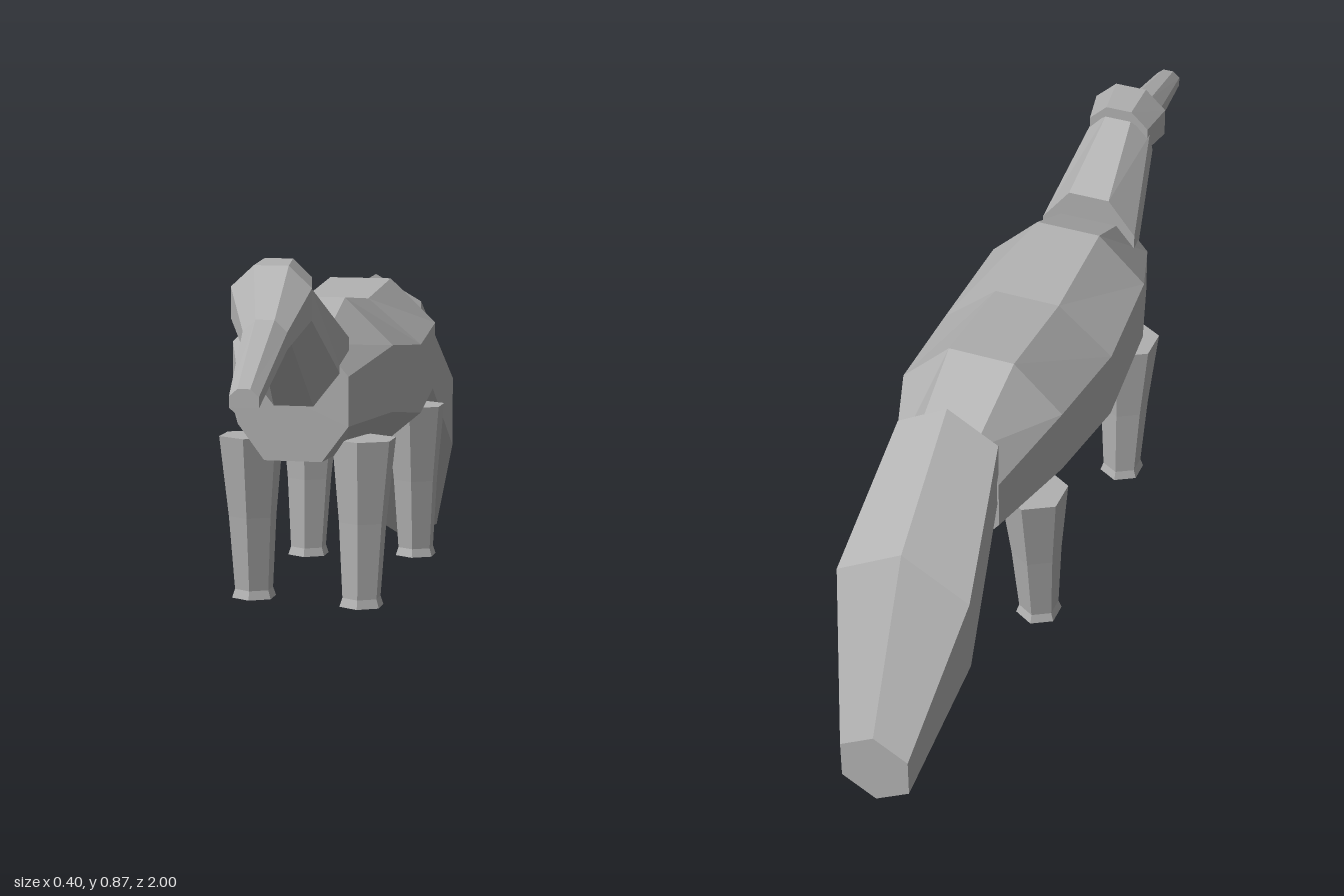
import * as THREE from 'three';

const coat = new THREE.MeshStandardMaterial({ color: 0xb0b0b0, flatShading: true });
coat.name = 'grey coat';

// Skin a list of cross-sections and close both ends
function loft(name, rings) {
  const pos = [];
  const n = rings[0].length;
  const tri = (a, b, c) => pos.push(...a, ...b, ...c);
  for (let r = 0; r < rings.length - 1; r++) {
    const a = rings[r], b = rings[r + 1];
    for (let i = 0; i < n; i++) {
      const j = (i + 1) % n;
      tri(a[i], a[j], b[j]);
      tri(a[i], b[j], b[i]);
    }
  }
  const first = rings[0], last = rings[rings.length - 1];
  for (let i = 1; i < n - 1; i++) {
    tri(first[0], first[i + 1], first[i]);
    tri(last[0], last[i], last[i + 1]);
  }
  const g = new THREE.BufferGeometry();
  g.setAttribute('position', new THREE.Float32BufferAttribute(pos, 3));
  g.computeVertexNormals();
  const mesh = new THREE.Mesh(g, coat);
  mesh.name = name;
  return mesh;
}

// Eight-sided section facing z: half width, flat half width, bottom / low / high / top heights
function octagon(z, cx, hw, flat, [bot, lo, hi, top], lean = 0) {
  const points = [[hw, lo], [hw, hi], [flat, top], [-flat, top], [-hw, hi], [-hw, lo], [-flat, bot], [flat, bot]];
  return points.map(([x, y]) => [cx + x, y, z + lean * (top - y)]);
}

// Evenly proportioned eight-sided section between two heights
function evenOctagon(z, cx, hw, bot, top, lean = 0) {
  const h = top - bot;
  return octagon(z, cx, hw, hw * 0.43, [bot, bot + h * 0.29, top - h * 0.29, top], lean);
}

// Six-sided section facing z, with a ridge at the top
function tailRing(z, cy, r) {
  return Array.from({ length: 6 }, (_, i) => {
    const a = Math.PI / 6 + i * Math.PI / 3;
    return [r * Math.cos(a), cy + r * Math.sin(a), z];
  });
}

// Six-sided section facing y
function legRing(x, y, z, r) {
  return Array.from({ length: 6 }, (_, i) => {
    const a = Math.PI / 6 + i * Math.PI / 3;
    return [x + r * Math.cos(a), y, z - r * Math.sin(a)];
  });
}

export function createModel() {
  const model = new THREE.Group();
  model.name = 'anteater';

  // Trunk, from hips to chest
  model.add(loft('body', [
    octagon(-0.59, 0, 0.12, 0.065, [0.41, 0.48, 0.59, 0.67]),
    octagon(-0.39, 0, 0.185, 0.075, [0.41, 0.5, 0.65, 0.755]),
    octagon(-0.13, 0, 0.2, 0.075, [0.36, 0.465, 0.625, 0.73]),
    octagon(0.12, 0, 0.185, 0.075, [0.41, 0.5, 0.65, 0.755]),
    octagon(0.31, 0, 0.125, 0.065, [0.41, 0.49, 0.6, 0.67]),
  ]));

  // Neck
  model.add(loft('neck', [
    evenOctagon(0.25, 0, 0.113, 0.48, 0.76),
    evenOctagon(0.46, 0.008, 0.073, 0.715, 0.845, 0.45),
  ]));

  // Head and long snout, turned a little to the left
  model.add(loft('head', [
    evenOctagon(0.465, 0.008, 0.072, 0.735, 0.868),
    evenOctagon(0.58, 0.02, 0.087, 0.705, 0.862),
    evenOctagon(0.69, 0.034, 0.047, 0.675, 0.76),
    evenOctagon(1.0, 0.07, 0.03, 0.605, 0.657),
  ]));

  // Heavy drooping tail
  model.add(loft('tail', [
    tailRing(-1.0, 0.092, 0.09),
    tailRing(-0.825, 0.375, 0.174),
    tailRing(-0.575, 0.617, 0.132),
  ]));

  // Legs in mid stride: side, hip z, foot z
  const legs = [
    ['frontLeftLeg', 1, 0.17, 0.195],
    ['frontRightLeg', -1, 0.17, 0.15],
    ['backLeftLeg', 1, -0.425, -0.44],
    ['backRightLeg', -1, -0.415, -0.39],
  ];
  for (const [name, side, hipZ, footZ] of legs) {
    const x = side * 0.13;
    model.add(loft(name, [
      legRing(x, 0.07, footZ, 0.052),
      legRing(x, 0.09, footZ, 0.045),
      legRing(x, 0.26, (hipZ + footZ) / 2, 0.056),
      legRing(x, 0.445, hipZ, 0.075),
    ]));
  }
  return model;
}
